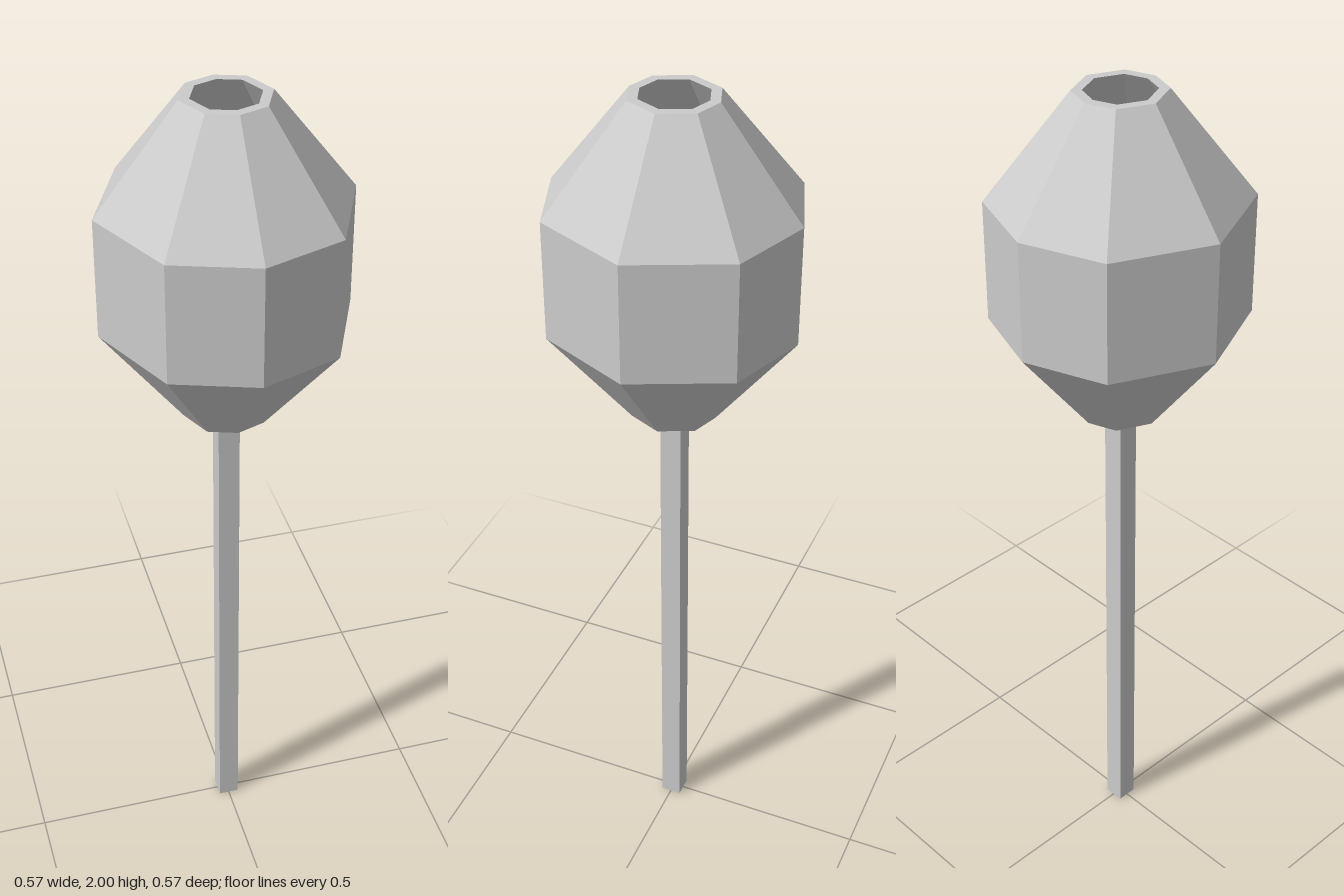
import * as THREE from 'three';

const material = new THREE.MeshStandardMaterial({ color: 0xcccccc, flatShading: true });

function addPart(group, name, geometry, y) {
  const mesh = new THREE.Mesh(geometry, material);
  mesh.name = name;
  mesh.position.y = y;
  group.add(mesh);
  return mesh;
}

// Hollow eight-sided shell, open at the top and the bottom
function shellGeometry() {
  const profile = [
    [0.1, -0.38], [0.286, -0.14], [0.286, 0.14], [0.1, 0.38], // outside, going up
    [0.077, 0.38], [0.263, 0.13], [0.263, -0.13], [0.077, -0.38], // inside, going down
    [0.1, -0.38],
  ].map(([r, y]) => new THREE.Vector2(r, y));
  const geometry = new THREE.LatheGeometry(profile, 8);

  // The diagonal corners are set slightly in along x and out along z
  const pos = geometry.attributes.position;
  for (let i = 0; i < pos.count; i++) {
    const x = pos.getX(i), z = pos.getZ(i);
    if (Math.abs(x) > 0.01 && Math.abs(z) > 0.01) {
      pos.setX(i, x * 0.93);
      pos.setZ(i, z * 1.085);
    }
  }
  geometry.computeVertexNormals();
  return geometry;
}

export function createModel() {
  const group = new THREE.Group();
  group.name = 'headOnPole';

  // Square pole, running up into the head
  addPart(group, 'pole', new THREE.BoxGeometry(0.05, 1.55, 0.05), 0.775);

  addPart(group, 'headShell', shellGeometry(), 1.62);

  // Eight-sided core lying along x inside the shell, one ridge upwards
  const core = new THREE.CylinderGeometry(0.13, 0.13, 0.26, 8);
  core.rotateZ(Math.PI / 2);
  addPart(group, 'innerCore', core, 1.62);

  return group;
}
